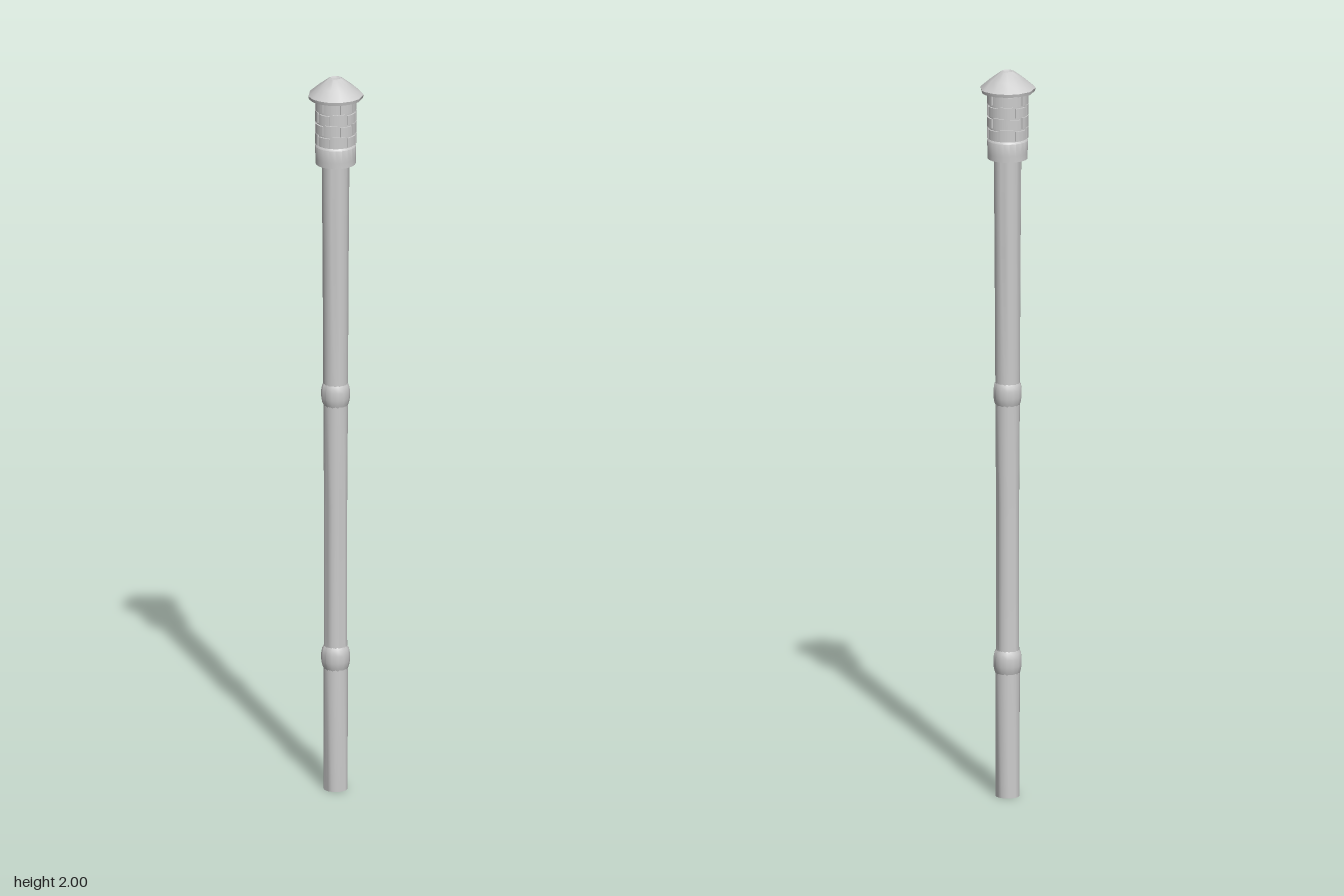
import * as THREE from 'three';
import { toCreasedNormals } from 'three/addons/utils/BufferGeometryUtils.js';

const material = new THREE.MeshStandardMaterial({ color: 0xcccccc, side: THREE.DoubleSide });

// Lathe from [radius, height] pairs, keeping hard edges
function turned(name, profile, sides) {
  const points = profile.map(([r, y]) => new THREE.Vector2(r, y));
  const mesh = new THREE.Mesh(toCreasedNormals(new THREE.LatheGeometry(points, sides), 0.7), material);
  mesh.name = name;
  return mesh;
}

// Curved slat: an arc-shaped plate standing out from the lantern wall
function slatGeometry(inner, outer, start, sweep, height) {
  const shape = new THREE.Shape();
  shape.absarc(0, 0, outer, start, start + sweep, false);
  shape.absarc(0, 0, inner, start + sweep, start, true);
  const geometry = new THREE.ExtrudeGeometry(shape, { depth: height, bevelEnabled: false, curveSegments: 4 });
  return geometry.rotateX(-Math.PI / 2);
}

export function createModel() {
  const model = new THREE.Group();

  // Tapered pole, slightly waisted, widest under the lantern
  model.add(turned('pole', [
    [0, 0], [0.032, 0], [0.033, 0.35], [0.031, 0.42], [0.031, 0.8], [0.033, 1.08],
    [0.033, 1.14], [0.035, 1.5], [0.037, 1.77], [0, 1.77],
  ], 20));

  // Swollen joints along the pole
  for (const y of [0.37, 1.11]) {
    const joint = turned('poleJoint', [
      [0.031, -0.035], [0.036, -0.022], [0.0385, -0.008], [0.0385, 0.012], [0.036, 0.026], [0.031, 0.035],
    ], 14);
    joint.position.y = y;
    model.add(joint);
  }

  // Lantern head: core, lower collar and rows of staggered slats
  const lantern = new THREE.Group();
  lantern.name = 'lantern';
  lantern.add(turned('lanternCore', [[0, 1.765], [0.051, 1.765], [0.051, 1.948], [0, 1.948]], 20));
  lantern.add(turned('lanternCollar', [
    [0.036, 1.76], [0.054, 1.76], [0.054, 1.775], [0.055, 1.81], [0.051, 1.815],
  ], 20));
  const perRow = 8;
  for (let row = 0; row < 4; row++) {
    for (let i = 0; i < perRow; i++) {
      const start = ((i + (row % 2) / 2) / perRow) * Math.PI * 2;
      const height = 0.026 + 0.004 * ((i + row) % 2);
      const slat = new THREE.Mesh(slatGeometry(0.05, 0.0555, start, 0.66, height), material);
      slat.name = 'slat';
      slat.position.y = 1.818 + row * 0.0315;
      lantern.add(slat);
    }
  }
  model.add(lantern);

  // Conical cap with an uneven rim and a small dished top
  const rimAngles = [0, 22, 52, 90, 102, 127, 157, 180, 210, 248, 270, 288, 309, 336, 360];
  const profile = [
    [0, 1.947], [0.05, 1.947], [0.073, 1.944], [0.075, 1.953],
    [0.047, 1.977], [0.019, 1.998], [0.015, 2], [0.009, 1.996], [0, 1.994],
  ];
  const sides = rimAngles.length - 1;
  const capGeometry = new THREE.LatheGeometry(profile.map(([r, y]) => new THREE.Vector2(r, y)), sides);
  const position = capGeometry.attributes.position;
  for (let k = 0; k < position.count; k++) {
    const angle = THREE.MathUtils.degToRad(rimAngles[Math.floor(k / profile.length)]);
    const [r, y] = profile[k % profile.length];
    position.setXYZ(k, r * Math.sin(angle), y, r * Math.cos(angle));
  }
  const cap = new THREE.Mesh(toCreasedNormals(capGeometry, 0.75), material);
  cap.name = 'cap';
  model.add(cap);

  return model;
}
